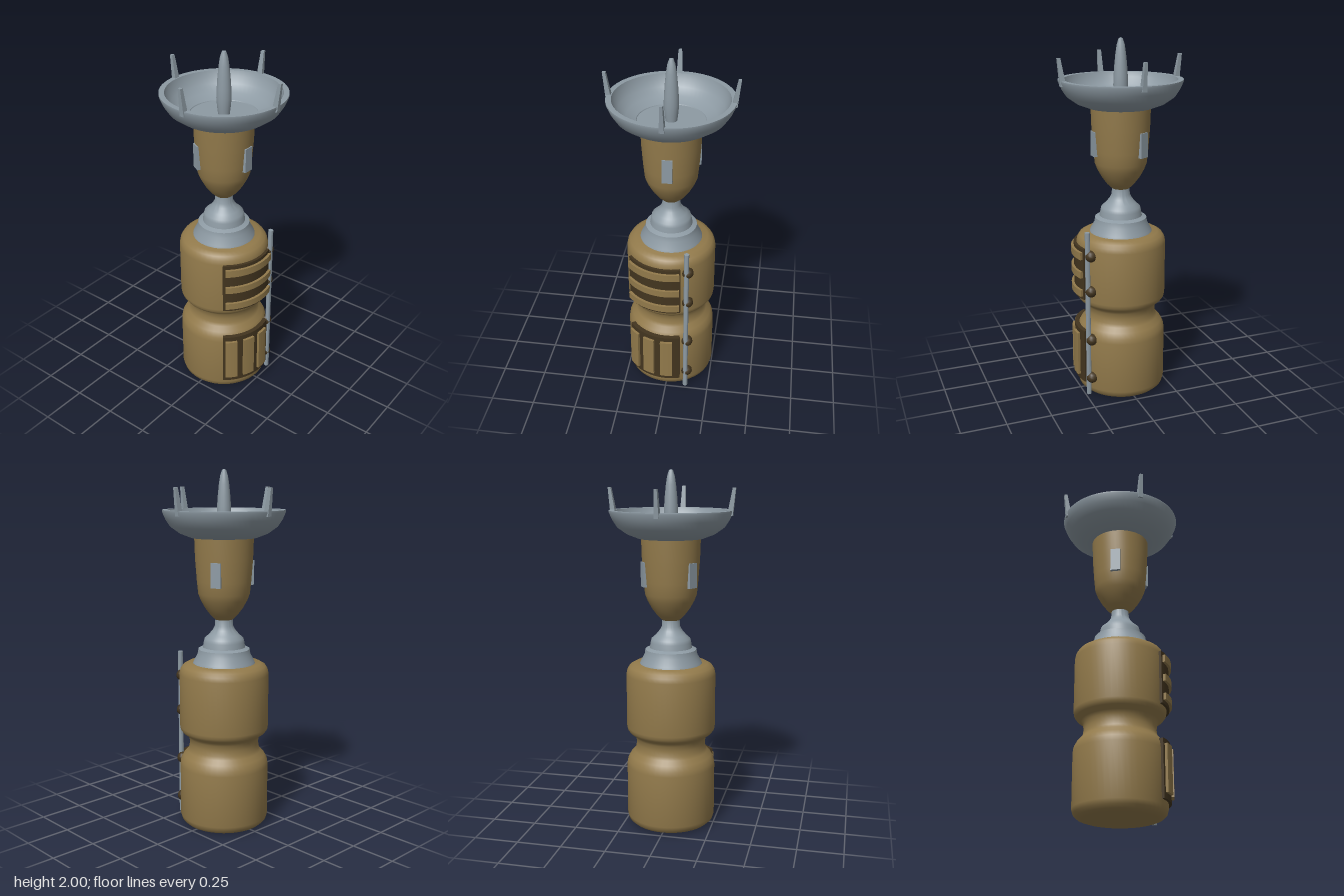
import * as THREE from 'three';
import { toCreasedNormals } from 'three/addons/utils/BufferGeometryUtils.js';

const material = (name, color) => {
  const m = new THREE.MeshStandardMaterial({ color });
  m.name = name;
  return m;
};

export function createModel() {
  const gold = material('aged brass', 0x927a4b);
  const silver = material('grey metal', 0x8d9aa3);
  const dark = material('dark brown', 0x43351f);
  const model = new THREE.Group();
  const rad = THREE.MathUtils.degToRad;

  const add = (name, geometry, mat, parent = model) => {
    const mesh = new THREE.Mesh(geometry, mat);
    mesh.name = name;
    parent.add(mesh);
    return mesh;
  };
  // Turned part from [radius, height] pairs, listed bottom to top
  const lathe = (name, points, mat, sides = 48) => {
    const g = new THREE.LatheGeometry(points.map(([r, y]) => new THREE.Vector2(r, y)), sides);
    return add(name, toCreasedNormals(g, rad(38)), mat);
  };
  // Plate curved round the y axis; angles in degrees from the front towards +x
  const arcPlate = (name, r0, r1, a0, a1, y0, y1, mat, parent) => {
    const s = new THREE.Shape();
    const from = rad(a0 - 90), to = rad(a1 - 90);
    s.absarc(0, 0, r1, from, to, false);
    s.absarc(0, 0, r0, to, from, true);
    const g = new THREE.ExtrudeGeometry(s, { depth: y1 - y0, bevelEnabled: false, curveSegments: 14 });
    g.rotateX(-Math.PI / 2);
    g.translate(0, y0, 0);
    return add(name, toCreasedNormals(g, rad(30)), mat, parent);
  };

  // Two-drum body with a narrow waist
  lathe('body', [
    [0, 0.004], [0.2, 0.004], [0.225, 0.013], [0.243, 0.03], [0.25, 0.055],
    [0.25, 0.35], [0.246, 0.378], [0.23, 0.408], [0.207, 0.432], [0.198, 0.45],
    [0.195, 0.48], [0.198, 0.51], [0.21, 0.528], [0.236, 0.546], [0.247, 0.562], [0.25, 0.58],
    [0.25, 0.88], [0.245, 0.905], [0.232, 0.925], [0.205, 0.94], [0, 0.94],
  ], gold);

  // Stepped shoulder and neck
  lathe('neck', [
    [0.175, 0.935], [0.17, 0.95], [0.148, 0.99], [0.143, 1.02], [0.118, 1.03],
    [0.113, 1.06], [0.108, 1.08], [0.085, 1.1], [0.062, 1.128], [0.051, 1.15], [0.048, 1.19],
  ], silver);

  // Cup under the dish
  lathe('cup', [
    [0, 1.185], [0.048, 1.185], [0.075, 1.21], [0.105, 1.25], [0.13, 1.295],
    [0.143, 1.33], [0.15, 1.4], [0.159, 1.52], [0.163, 1.645],
  ], gold);

  // Hollow dish
  lathe('dish', [
    [0, 1.635], [0.18, 1.635], [0.24, 1.658], [0.292, 1.695], [0.318, 1.735], [0.335, 1.775],
    [0.335, 1.785], [0.306, 1.785], [0.298, 1.757], [0.275, 1.72], [0.235, 1.685],
    [0.182, 1.664], [0.18, 1.66], [0, 1.66],
  ], silver, 64);

  // Central spike
  lathe('spike', [
    [0.03, 1.655], [0.036, 1.7], [0.04, 1.75], [0.038, 1.8], [0.034, 1.86],
    [0.028, 1.92], [0.021, 1.965], [0.011, 1.995], [0, 2],
  ], silver, 16);

  // Four tapered prongs on the rim, leaning outwards
  for (let i = 0; i < 4; i++) {
    const g = new THREE.BoxGeometry(1, 1, 1);
    const p = g.attributes.position;
    for (let k = 0; k < p.count; k++) {
      const top = p.getY(k) > 0, outer = p.getZ(k) > 0;
      const half = (top ? 0.01 : 0.017) * (outer ? 0.75 : 1);
      const z = top ? (outer ? 0.352 : 0.335) : (outer ? 0.337 : 0.307);
      p.setXYZ(k, Math.sign(p.getX(k)) * half, top ? 1.905 : 1.757, z);
    }
    g.computeVertexNormals();
    add('prong', g, silver).rotation.y = i * Math.PI / 2;
  }

  // Three small plates round the cup
  for (let i = 0; i < 3; i++) {
    const g = new THREE.BoxGeometry(0.056, 0.135, 0.026);
    g.translate(0, 1.443, 0.151);
    add('cupPlate', g, silver).rotation.y = i * Math.PI * 2 / 3;
  }

  // Upper grille with horizontal slats
  const upper = new THREE.Group();
  upper.name = 'upperGrille';
  model.add(upper);
  arcPlate('grilleBack', 0.24, 0.265, -54, 19, 0.585, 0.882, dark, upper);
  for (const [y0, y1] of [[0.82, 0.862], [0.712, 0.75], [0.605, 0.643]])
    arcPlate('slat', 0.255, 0.28, -51, 17, y0, y1, gold, upper);

  // Lower grille with vertical slats
  const lower = new THREE.Group();
  lower.name = 'lowerGrille';
  model.add(lower);
  arcPlate('grilleBack', 0.24, 0.265, -54, 19, 0.08, 0.395, dark, lower);
  for (const a of [-43.5, -21, 1.5])
    arcPlate('slat', 0.255, 0.28, a - 7.2, a + 7.2, 0.112, 0.368, gold, lower);

  // Side rod and its four clamps
  const rod = add('rod', toCreasedNormals(new THREE.CylinderGeometry(0.014, 0.014, 0.965, 12), rad(40)), silver);
  rod.position.set(0.117, 0.503, 0.238);
  for (const y of [0.85, 0.645, 0.355, 0.122]) {
    const clamp = add('clamp', new THREE.SphereGeometry(0.033, 12, 8), dark);
    clamp.position.set(0.122, y, 0.22);
  }

  return model;
}
